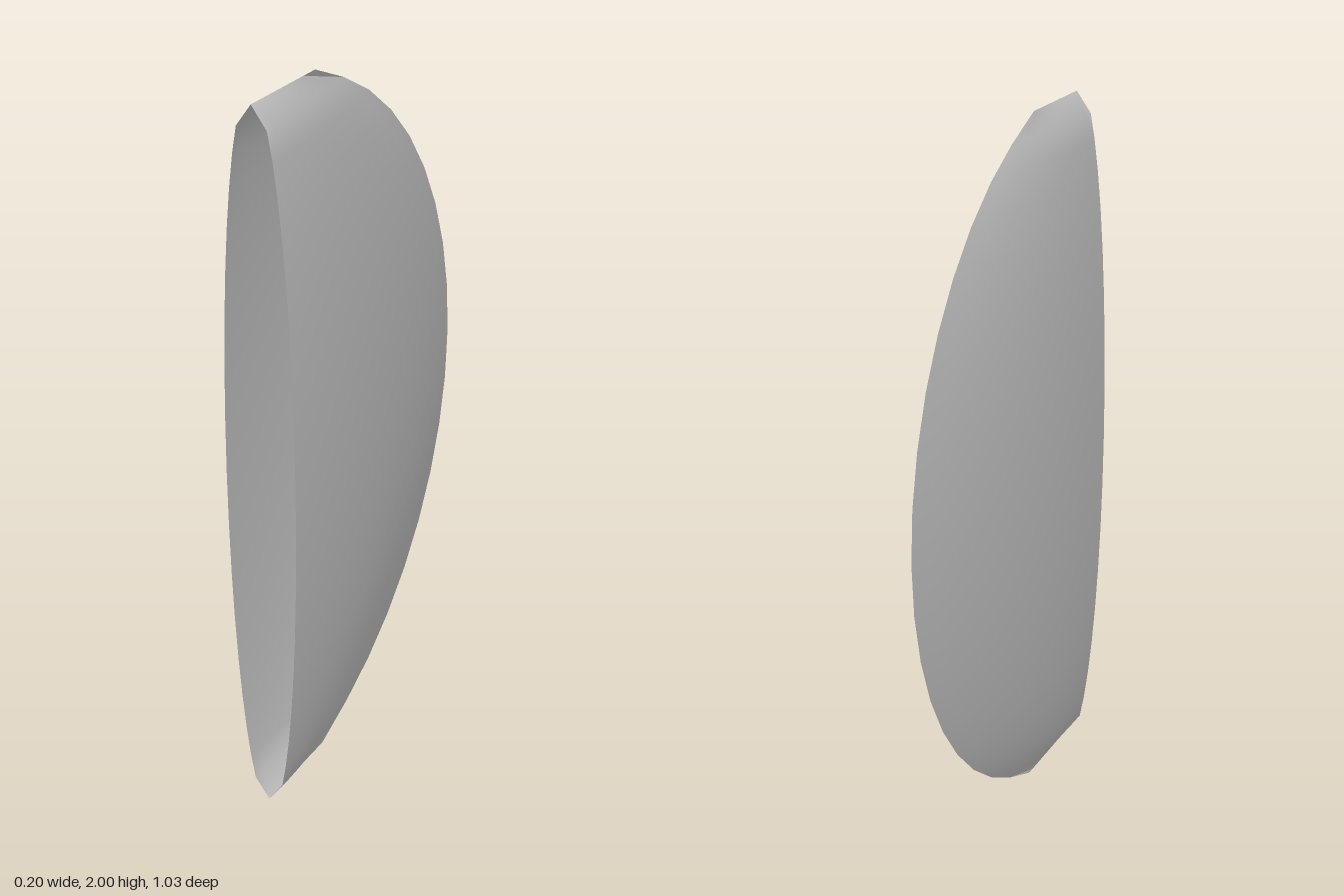
import * as THREE from 'three';

const FRONT = 0.515, RADIUS = 1.03, HALF_WIDTH = 0.102;
const ROWS = 9, COLS = 12; // rows above and below the middle, steps from rim to opening

// One curved wall of the shell; side is +1 or -1 along x
function wallGeometry(side) {
  const positions = [], index = [];
  for (let i = -ROWS; i <= ROWS; i++) {
    const angle = i * Math.PI * 2 / 44;
    const isEnd = Math.abs(i) === ROWS;
    const y = isEnd ? 1 + Math.sign(i) : 1 + 1.035 * Math.sin(angle);
    const width = isEnd ? 0 : HALF_WIDTH * Math.cos(angle);
    let rim = FRONT - RADIUS * Math.cos(angle);
    // the +x wall stops a little short at the top, leaving a narrow slit
    if (i === ROWS && side > 0) rim = 0.28;
    for (let j = 0; j <= COLS; j++) {
      const t = j / COLS;
      const x = width * (1 - (1 - t) ** 2.05);
      positions.push(side * x, y, rim + (FRONT - rim) * t);
    }
  }
  const stride = COLS + 1;
  for (let i = 0; i < ROWS * 2; i++) {
    for (let j = 0; j < COLS; j++) {
      const a = i * stride + j, b = a + 1, c = a + stride, d = c + 1;
      if (side > 0) index.push(a, c, b, b, c, d);
      else index.push(a, b, c, b, d, c);
    }
  }
  const geometry = new THREE.BufferGeometry();
  geometry.setAttribute('position', new THREE.Float32BufferAttribute(positions, 3));
  geometry.setIndex(index);
  geometry.computeVertexNormals();
  return geometry;
}

export function createModel() {
  const group = new THREE.Group();
  group.name = 'finShell';
  const material = new THREE.MeshStandardMaterial({ color: 0xcccccc, side: THREE.DoubleSide });
  // Two smooth walls meeting in a sharp rim, open at the front
  for (const [name, side] of [['leftWall', 1], ['rightWall', -1]]) {
    const wall = new THREE.Mesh(wallGeometry(side), material);
    wall.name = name;
    group.add(wall);
  }
  return group;
}
